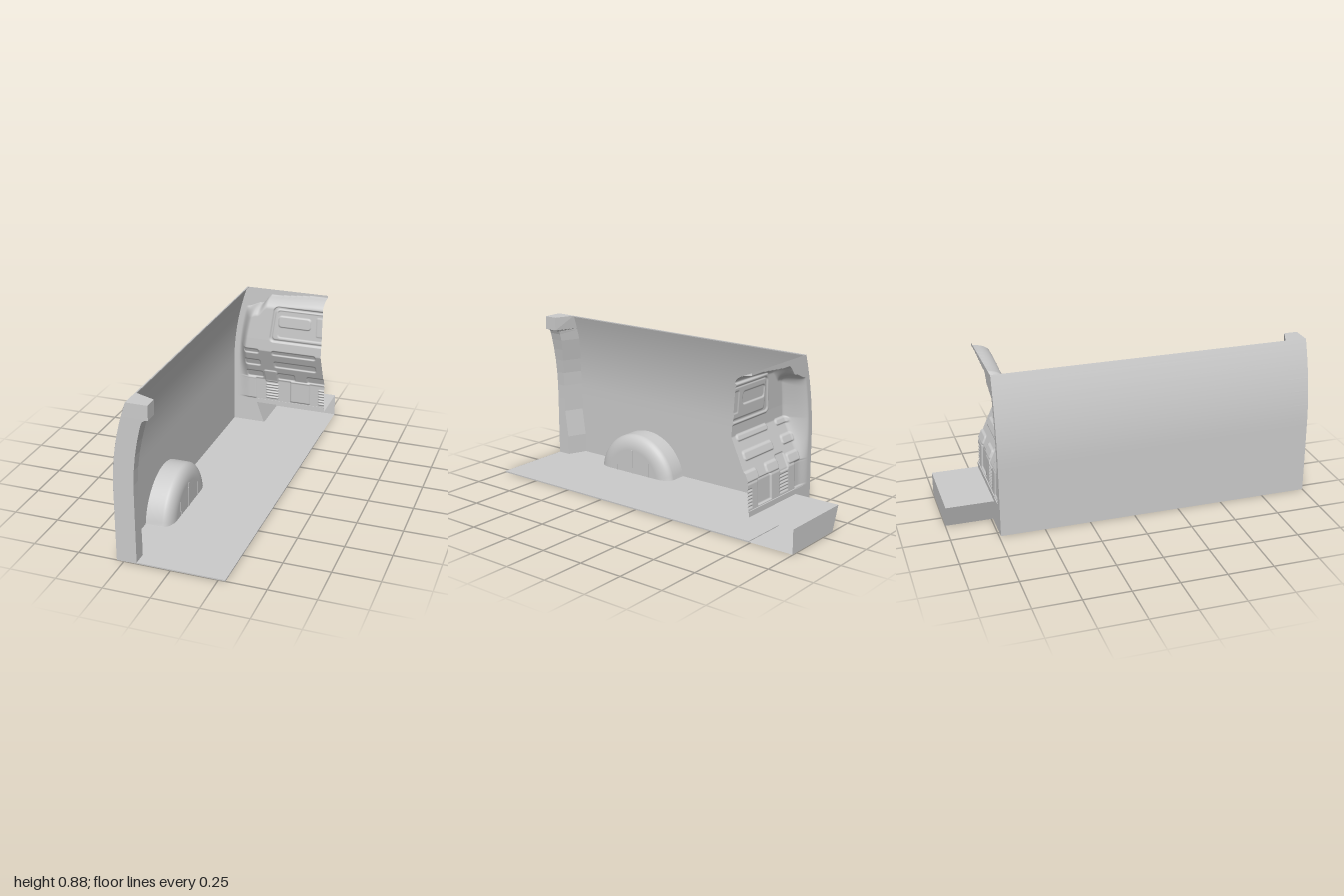
import * as THREE from 'three';

const TOP = 0.877, XR = 0.287, ZB = -0.74;
const smooth = new THREE.MeshStandardMaterial({ color: 0xcccccc, side: THREE.DoubleSide });
const flat = new THREE.MeshStandardMaterial({ color: 0xcccccc, side: THREE.DoubleSide, flatShading: true });

const step = (v, a, b) => THREE.MathUtils.smoothstep(v, a, b);
// Side wall bends inward above y = 0.4
const wallX = (y) => -0.289 + 0.363 * Math.max(0, y - 0.4) ** 2;

// Piecewise linear lookup through [input, output] pairs
function lookup(pts, v) {
  for (let i = 1; i < pts.length; i++) {
    if (v <= pts[i][0]) {
      const [a, p] = pts[i - 1], [b, q] = pts[i];
      return p + (q - p) * THREE.MathUtils.clamp((v - a) / (b - a), 0, 1);
    }
  }
  return pts[pts.length - 1][1];
}

// Surface through a grid of points: fn(u, v) returns [x, y, z]
function surface(nu, nv, fn) {
  const pos = [], idx = [];
  for (let j = 0; j <= nv; j++) for (let i = 0; i <= nu; i++) pos.push(...fn(i / nu, j / nv));
  for (let j = 0; j < nv; j++) for (let i = 0; i < nu; i++) {
    const a = j * (nu + 1) + i, b = a + 1, c = a + nu + 1, d = c + 1;
    idx.push(a, b, d, a, d, c);
  }
  const g = new THREE.BufferGeometry();
  g.setAttribute('position', new THREE.Float32BufferAttribute(pos, 3));
  g.setIndex(idx);
  g.computeVertexNormals();
  return g;
}

function polygon(points) {
  return new THREE.ShapeGeometry(new THREE.Shape(points.map(([x, y]) => new THREE.Vector2(x, y))));
}

// 1 inside a rounded rectangle, 0 outside, with a soft edge; skew slants its sides
function pad(x, y, x0, x1, y0, y1, r = 0.015, soft = 0.008, skew = 0) {
  const px = x - skew * (y - y0) - (x0 + x1) / 2, py = y - (y0 + y1) / 2;
  const dx = Math.abs(px) - (x1 - x0) / 2 + r, dy = Math.abs(py) - (y1 - y0) / 2 + r;
  const d = Math.hypot(Math.max(dx, 0), Math.max(dy, 0)) + Math.min(Math.max(dx, dy), 0) - r;
  return 1 - step(d, -soft, 0);
}

// Depth of the pressed bulkhead panel
const bulge = [[0.16, 0.005], [0.3, 0.01], [0.53, 0.115], [0.6, 0.113], [0.8, 0.1], [0.88, 0.095]];
const recesses = [
  [-0.2, -0.095, 0.5, 0.537], [-0.02, 0.255, 0.5, 0.537],
  [-0.2, -0.095, 0.405, 0.455], [-0.015, 0.25, 0.405, 0.455],
  [-0.2, -0.09, 0.31, 0.365], [-0.005, 0.11, 0.31, 0.365], [0.18, 0.32, 0.31, 0.365],
];
function bulkheadZ(x, y) {
  const side = step(x - wallX(y), 0.03, 0.11);
  // Upper edge drops at the shoulder beside the wall
  const edge = 0.862 - 0.02 * step(-x, -0.25, 0.05) - 0.055 * step(-x, 0.05, 0.11) - 0.03 * step(-x, 0.11, 0.2);
  const t = THREE.MathUtils.clamp((edge - y) / 0.05, 0, 1);
  const roof = Math.sqrt(1 - (1 - t) ** 2);
  let d = lookup(bulge, y);
  for (const r of recesses) d -= 0.008 * pad(x, y, ...r);
  // Framed upper panel with a bead around it and an inner recess
  d -= 0.009 * pad(x, y, -0.035, 0.4, 0.59, 0.812, 0.03, 0.008, 0.12);
  d += 0.006 * pad(x, y, -0.02, 0.4, 0.603, 0.797, 0.025, 0.008, 0.12);
  d -= 0.004 * pad(x, y, 0.015, 0.4, 0.62, 0.79, 0.02, 0.006);
  d += 0.006 * pad(x, y, 0.02, 0.22, 0.685, 0.757, 0.02, 0.006);
  d += 0.003 * pad(x, y, 0.25, 0.4, 0.65, 0.77, 0.01, 0.006);
  // Lower plates and louvres
  d += 0.008 * pad(x, y, 0.075, 0.2, 0.17, 0.315, 0.005, 0.006);
  d += 0.006 * pad(x, y, -0.3, -0.14, 0.165, 0.31, 0.005, 0.006);
  d += 0.006 * pad(x, y, -0.085, 0.0, 0.288, 0.38, 0.012, 0.006);
  for (let i = 0; i < 6; i++) {
    const y0 = 0.176 + i * 0.018;
    d += 0.006 * (pad(x, y, -0.08, 0, y0, y0 + 0.013, 0.005, 0.005) + pad(x, y, 0.25, 0.33, y0, y0 + 0.013, 0.005, 0.005));
  }
  return ZB + d * side * roof;
}

export function createModel() {
  const model = new THREE.Group();
  const add = (name, geo, mat = flat, x = 0, y = 0, z = 0, parent = model) => {
    const m = new THREE.Mesh(geo, mat);
    m.name = name;
    m.position.set(x, y, z);
    parent.add(m);
    return m;
  };

  // Floor slab
  add('floor', new THREE.BoxGeometry(0.576, 0.007, 1.74), flat, -0.001, 0.0035, 0.13);

  // Curved side wall with a thin top edge
  add('sideWall', surface(1, 24, (u, v) => [wallX(v * TOP), v * TOP, ZB + u * (1 - ZB)]), smooth);
  add('wallTopEdge', new THREE.BoxGeometry(0.007, 0.005, 1.74), flat, wallX(TOP) + 0.0035, TOP - 0.0025, 0.13);

  // Rear pillar: cross-sections stacked up the wall, widening into a step at the top
  const levels = [0, 0.06, 0.12, 0.2, 0.28, 0.36, 0.44, 0.52, 0.6, 0.67, 0.73, 0.77, 0.788, 0.797, 0.8, TOP];
  const shift = [[0, 0], [0.12, 0], [0.28, 0.022], [0.55, 0.022], [0.72, 0], [0.9, 0]];
  const stepX = [[0.77, 0], [0.788, 0.003], [0.797, 0.015], [0.8, 0.032]];
  const ring = (y) => {
    const w = wallX(y), s = lookup(shift, y);
    const inner = y >= 0.8 ? -0.092 : w + 0.108 + lookup(stepX, y);
    return [[w, 1], [inner, 1], [inner, 0.925 + s], [w, 0.88 + s], [w, 1]];
  };
  add('rearPillar', surface(4, levels.length - 1, (u, v) => {
    const y = levels[Math.round(v * (levels.length - 1))];
    const [x, z] = ring(y)[Math.round(u * 4)];
    return [x, y, z];
  }));
  add('pillarTop', polygon(ring(TOP).slice(0, 4).map(([x, z]) => [x, -z])).rotateX(-Math.PI / 2), flat, 0, TOP);

  // Pressed bulkhead panel
  add('bulkhead', surface(150, 200, (u, v) => {
    const y = 0.16 + v * (TOP - 0.16), w = wallX(y), x = w + u * (XR - w);
    return [x, y, bulkheadZ(x, y)];
  }), smooth);
  add('bulkheadFoot', polygon([[-0.289, 0], [-0.095, 0], [-0.142, 0.134], [XR, 0.134], [XR, 0.16], [-0.289, 0.16]]), flat, 0, 0, ZB);
  add('bulkheadSill', new THREE.BoxGeometry(0.43, 0.006, 0.008), flat, 0.072, 0.161, ZB + 0.004);

  // Hollow footwell box behind the bulkhead, open to the front and the side
  const box = new THREE.Group();
  box.name = 'footwell';
  model.add(box);
  const outline = [[XR, 0.002], [-0.095, 0.002], [-0.145, 0.134], [XR, 0.134]];
  add('footwellShell', surface(3, 1, (u, v) => [...outline[Math.round(u * 3)], -1 + v * (1 + ZB)]), flat, 0, 0, 0, box);
  add('footwellBack', polygon(outline), flat, 0, 0, -1, box);

  // Wheel arch: half-round sections easing into a flat inner face
  const arch = [[-0.289, 0.265], [-0.2, 0.265]];
  for (let i = 1; i <= 8; i++) {
    const a = (i / 8) * Math.PI / 2;
    arch.push([-0.2 + 0.053 * Math.sin(a), 0.18 + 0.085 * Math.cos(a)]);
  }
  arch.push([-0.147, 0]);
  add('wheelArch', surface(arch.length - 1, 40, (u, v) => {
    const [x, r] = arch[Math.round(u * (arch.length - 1))], t = v * Math.PI;
    return [x, Math.max(0.004, -0.032 + r * Math.sin(t)), 0.38 + r * Math.cos(t)];
  }), smooth);
  for (const [z, h, w] of [[0.5, 0.09, 0.005], [0.385, 0.145, 0.012], [0.265, 0.09, 0.005]]) {
    add('archRib', new THREE.BoxGeometry(0.004, h, w), flat, -0.146, h / 2, z);
  }

  return model;
}
